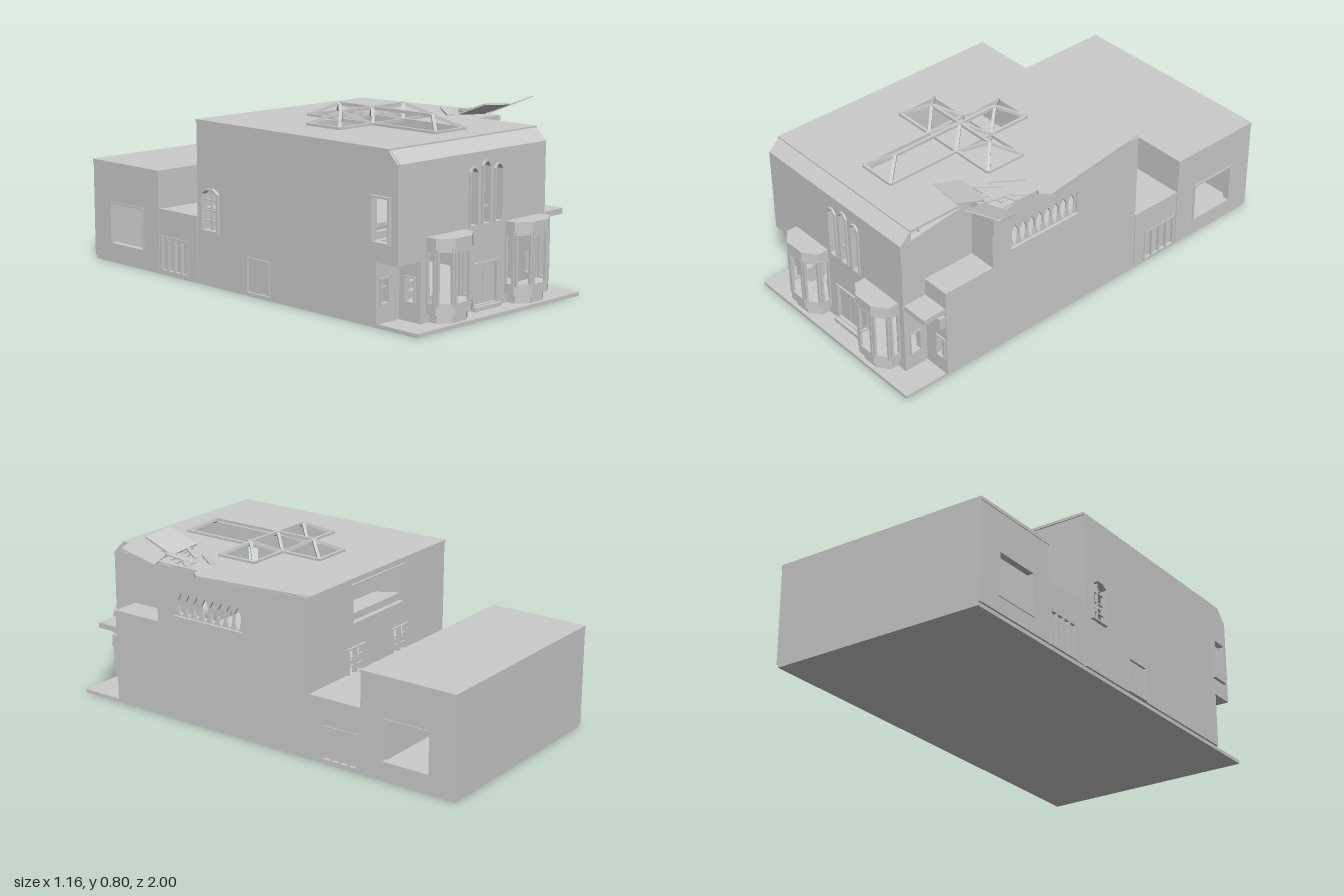
import * as THREE from 'three';

const V = (x, y, z) => new THREE.Vector3(x, y, z);
const mat = new THREE.MeshStandardMaterial({ color: 0xcccccc, flatShading: true, side: THREE.DoubleSide });
const rect = (a, b, c, d) => [[a, c], [b, c], [b, d], [a, d]];
const peak = (a, b, c, d) => [[a, c], [b, c], [b, d - 0.02], [b * 0.7 + a * 0.3, d], [a * 0.7 + b * 0.3, d], [a, d - 0.02]];
const poly = pts => pts.map(p => new THREE.Vector2(p[0], p[1]));

export function createModel() {
  const root = new THREE.Group();
  const add = (name, geo, parent = root) => {
    const m = new THREE.Mesh(geo, mat);
    m.name = name;
    parent.add(m);
    return m;
  };
  const box = (name, x0, x1, y0, y1, z0, z1, parent) =>
    add(name, new THREE.BoxGeometry(x1 - x0, y1 - y0, z1 - z0)
      .translate((x0 + x1) / 2, (y0 + y1) / 2, (z0 + z1) / 2), parent);
  const extrude = (pts, holes, depth) => {
    const s = new THREE.Shape(poly(pts));
    for (const h of holes) s.holes.push(new THREE.Path(poly(h)));
    return new THREE.ExtrudeGeometry(s, { depth, bevelEnabled: false });
  };
  // upright wall in the x-y plane, from z to z + t
  const wallX = (name, pts, holes, z, t = 0.02) => add(name, extrude(pts, holes, t).translate(0, 0, z));
  // upright wall in the z-y plane, from x - t to x
  const wallZ = (name, pts, holes, x, t = 0.02) => add(name, extrude(pts, holes, t).rotateY(-Math.PI / 2).translate(x, 0, 0));
  // flat plate outlined in x-z, from y to y + t
  const plate = (name, pts, holes, y, t, parent) =>
    add(name, extrude(pts, holes, t).rotateX(Math.PI / 2).translate(0, y + t, 0), parent);
  const beam = (name, a, b, w = 0.012, h = w, parent = root) => {
    const m = add(name, new THREE.BoxGeometry(w, h, a.distanceTo(b)), parent);
    m.position.copy(a).lerp(b, 0.5);
    m.lookAt(b);
    return m;
  };
  // window surround: outline reduced towards its middle gives the hole
  const ring = (pts, f) => {
    const us = pts.map(p => p[0]), ys = pts.map(p => p[1]);
    const cu = (Math.min(...us) + Math.max(...us)) / 2, cy = (Math.min(...ys) + Math.max(...ys)) / 2;
    const hu = Math.max(...us) - cu, hy = Math.max(...ys) - cy;
    return pts.map(p => [cu + (p[0] - cu) * (1 - f / hu), cy + (p[1] - cy) * (1 - f / hy)]);
  };

  // ground slab
  box('groundSlab', -0.56, 0.43, 0, 0.016, -1, 1);

  // front wall with bay openings, door and three tall windows
  const tall = [peak(-0.166, -0.114, 0.36, 0.605), peak(-0.091, -0.039, 0.36, 0.623), peak(-0.016, 0.036, 0.36, 0.605)];
  const door = rect(-0.14, 0.01, 0.03, 0.21);
  wallX('frontWall', [[-0.44, 0.016], [0.31, 0.016], [0.31, 0.66], [-0.57, 0.66], [-0.57, 0.265], [-0.44, 0.265]],
    [...tall, door, rect(-0.39, -0.21, 0.06, 0.32), rect(0.08, 0.26, 0.06, 0.32)], 0.885);
  for (const t of tall) wallX('tallWindowFrame', t, [ring(t, 0.007)], 0.88, 0.035);
  box('windowTransom', -0.09, -0.04, 0.43, 0.44, 0.89, 0.9);
  wallX('doorFrame', door, [ring(door, 0.007)], 0.885, 0.028);
  for (const x of [-0.133, -0.063]) box('doorLeaf', x, x + 0.066, 0.035, 0.203, 0.89, 0.898);
  box('doorStep', -0.145, 0.015, 0.016, 0.033, 0.89, 0.93);

  // sloped parapet along the front edge of the roof
  add('slopedParapet', extrude([[0.905, 0.66], [0.85, 0.715], [0.85, 0.66]], [], 0.87)
    .rotateY(-Math.PI / 2).translate(0.31, 0, 0));

  // bay windows
  const bay = (cx, s = 1) => [[-0.11, 0.9], [-0.11, 0.955], [-0.048, 1], [0.048, 1], [0.11, 0.955], [0.11, 0.9]]
    .map(([x, z]) => [cx + x * s, 0.9 + (z - 0.9) * s]);
  for (const cx of [-0.3, 0.17]) {
    const g = new THREE.Group();
    g.name = 'bayWindow';
    root.add(g);
    plate('bayFoot', bay(cx, 0.82), [], 0.016, 0.04, g);
    plate('bayBase', bay(cx), [], 0.055, 0.035, g);
    plate('bayHeader', bay(cx), [], 0.312, 0.046, g);
    const p = bay(cx, 0.96);
    for (let i = 0; i < 5; i++) {
      const [a, b] = [p[i], p[i + 1]];
      const d = V(b[0] - a[0], 0, b[1] - a[1]).normalize().multiplyScalar(0.007);
      for (const q of [[a[0] + d.x, a[1] + d.z], [b[0] - d.x, b[1] - d.z]])
        box('bayPost', q[0] - 0.006, q[0] + 0.006, 0.085, 0.315, q[1] - 0.006, q[1] + 0.006, g);
      for (const y of [0.094, 0.307]) beam('bayRail', V(a[0], y, a[1]), V(b[0], y, b[1]), 0.01, 0.01, g);
    }
  }

  // recessed ground-floor corners beside the front
  const cornerR = rect(0.375, 0.43, 0.09, 0.2), cornerL = rect(-0.555, -0.5, 0.09, 0.2), ret = rect(0.82, 0.88, 0.09, 0.2);
  wallX('cornerWallRight', rect(0.31, 0.44, 0.016, 0.44), [cornerR], 0.77);
  wallX('cornerWallLeft', rect(-0.57, -0.44, 0.016, 0.265), [cornerL], 0.77);
  for (const [w, c] of [[cornerR, 0.4025], [cornerL, -0.5275]]) {
    wallX('cornerWindowFrame', w, [ring(w, 0.007)], 0.77, 0.028);
    box('cornerWindowBar', c - 0.003, c + 0.003, 0.09, 0.2, 0.778, 0.785);
    box('cornerWindowBar', c - 0.026, c + 0.026, 0.157, 0.163, 0.778, 0.785);
  }
  wallZ('returnWallRight', rect(0.77, 0.9, 0.016, 0.44), [ret], 0.31);
  wallZ('returnWallLeft', rect(0.77, 0.9, 0.016, 0.265), [ret], -0.42);
  for (const x of [0.314, -0.42]) wallZ('returnWindowFrame', ret, [ring(ret, 0.007)], x, 0.028);
  box('overhangFloor', -0.57, -0.42, 0.265, 0.28, 0.77, 0.9);
  // canopy and terrace on the right
  box('canopyTop', 0.31, 0.435, 0.335, 0.36, 0.785, 0.9);
  box('canopyUnderside', 0.31, 0.435, 0.265, 0.32, 0.785, 0.82);
  box('terrace', 0.3, 0.44, 0.425, 0.442, 0.53, 0.79);
  wallZ('blockSideWall', rect(0.53, 0.885, 0.44, 0.71).map(([z, y]) => [z, z > 0.8 ? Math.min(y, 0.66) : y]), [], 0.31);
  wallX('terraceBackWall', rect(0.29, 0.44, 0.44, 0.712), [], 0.52);

  // right side wall with arcade
  wallZ('rightWall', [[-0.275, 0.016], [0.79, 0.016], [0.79, 0.44], [0.54, 0.44], [0.54, 0.712], [-0.275, 0.712]],
    [rect(0.075, 0.44, 0.49, 0.6)], 0.44);
  const arches = [];
  for (let i = 0; i < 8; i++) {
    const a = 0.082 + i * 0.0445, b = a + 0.036;
    arches.push([[a + 0.01, 0.495], [b - 0.01, 0.495], [b, 0.53], [b, 0.56], [(a + b) / 2, 0.592], [a, 0.56], [a, 0.53]]);
  }
  wallZ('arcade', rect(0.075, 0.44, 0.49, 0.6), arches, 0.432, 0.01);
  box('arcadeSill', 0.42, 0.446, 0.482, 0.49, 0.07, 0.445);
  box('arcadeLintel', 0.43, 0.447, 0.6, 0.71, 0.44, 0.54);
  box('arcadeLedge', 0.3, 0.42, 0.44, 0.45, 0.07, 0.53);

  // left side wall
  const archWin = peak(-0.24, -0.13, 0.24, 0.43), sideDoor = rect(0.04, 0.18, 0.016, 0.17), upWin = rect(0.77, 0.87, 0.34, 0.53);
  wallZ('leftWall', [[-0.275, 0.016], [0.78, 0.016], [0.78, 0.265], [0.9, 0.265], [0.9, 0.66], [0.85, 0.712], [-0.275, 0.712]],
    [archWin, sideDoor, upWin], -0.55);
  for (const w of [archWin, upWin]) wallZ('leftWindowFrame', w, [ring(w, 0.009)], -0.555, 0.03);
  for (let i = 1; i < 4; i++) box('archWindowBar', -0.57, -0.56, 0.24 + i * 0.045, 0.246 + i * 0.045, -0.24, -0.13);
  box('archWindowBar', -0.57, -0.56, 0.24, 0.42, -0.188, -0.182);
  wallZ('sideDoorFrame', sideDoor, [ring(sideDoor, 0.006)], -0.555, 0.022);
  box('sideDoor', -0.566, -0.558, 0.016, 0.165, 0.045, 0.175);

  // rear wall with wide opening and two small windows
  const wide = rect(-0.25, 0.14, 0.51, 0.69), smalls = [rect(-0.28, -0.16, 0.28, 0.41), rect(0.045, 0.165, 0.28, 0.41)];
  wallX('rearWall', rect(-0.57, 0.44, 0.016, 0.712), [wide, ...smalls], -0.275);
  wallX('wideOpeningFrame', wide, [ring(wide, 0.008)], -0.283, 0.03);
  for (const w of smalls) {
    wallX('rearWindowFrame', w, [ring(w, 0.008)], -0.285, 0.03);
    const c = (w[0][0] + w[1][0]) / 2;
    box('rearWindowBar', c - 0.005, c + 0.005, 0.28, 0.41, -0.282, -0.262);
    for (const y of [0.32, 0.36]) box('rearWindowBar', c - 0.055, c + 0.055, y, y + 0.006, -0.275, -0.268);
  }
  plate('rearAlcoveLedge', [[-0.25, -0.26], [0.14, -0.26], [0.08, -0.16], [-0.19, -0.16]], [], 0.5, 0.05);
  for (const x of [-0.19, 0.08]) box('alcovePost', x - 0.006, x + 0.006, 0.54, 0.71, -0.17, -0.158);

  // roof with a cross-shaped opening
  const cross = [[-0.16, -0.02], [0.02, -0.02], [0.02, 0.18], [0.22, 0.18], [0.22, 0.37], [0.02, 0.37],
    [0.02, 0.72], [-0.16, 0.72], [-0.16, 0.37], [-0.355, 0.37], [-0.355, 0.18], [-0.16, 0.18]];
  plate('roof', [[-0.57, -0.28], [0.43, -0.28], [0.498, 0.27], [0.46, 0.31], [0.44, 0.3], [0.44, 0.54], [0.31, 0.54], [0.31, 0.855], [-0.57, 0.855]],
    [cross], 0.704, 0.012);

  // skylight truss over the cross
  const truss = new THREE.Group();
  truss.name = 'skylightTruss';
  root.add(truss);
  const lo = 0.72, hi = 0.772, mid = V(-0.07, hi, 0.275);
  cross.forEach((p, i) => {
    const q = cross[(i + 1) % 12];
    beam('trussCurb', V(p[0], lo, p[1]), V(q[0], lo, q[1]), 0.014, 0.014, truss);
  });
  const tips = [[-0.07, 0.08], [0.12, 0.275], [-0.07, 0.62], [-0.255, 0.275]];
  tips.forEach(([x, z], i) => {
    const tip = V(x, hi, z);
    beam('trussRidge', mid, tip, 0.013, 0.013, truss);
    // hips to the outer corners of the arm, braces to its inner corners
    const k = i * 3;
    for (const c of [k, k + 1]) beam('trussHip', tip, V(cross[c][0], lo, cross[c][1]), 0.013, 0.013, truss);
    const inner = [cross[(k + 11) % 12], cross[k + 2]];
    for (const c of inner) {
      const end = V(c[0], lo, c[1]);
      if (i !== 2) beam('trussBrace', tip, end, 0.013, 0.013, truss);
    }
    const valley = V(inner[0][0], lo, inner[0][1]);
    beam('trussValley', mid, valley, 0.013, 0.013, truss);
    beam('trussTie', valley, V(inner[1][0], lo, inner[1][1]), 0.013, 0.013, truss);
  });

  // broken roof panels: tilted slabs given by corner, two edge vectors
  const slab = (name, o, u, v, t) => {
    const n = u.clone().cross(v).normalize();
    const m = add(name, new THREE.BoxGeometry(u.length(), t, v.length()));
    m.position.copy(o).addScaledVector(u, 0.5).addScaledVector(v, 0.5);
    const side = u.clone().normalize();
    m.quaternion.setFromRotationMatrix(new THREE.Matrix4().makeBasis(side, n.negate(), side.clone().cross(n)));
  };
  slab('loosePanel', V(0.215, 0.74, 0.505), V(0.155, -0.012, 0.005), V(0, 0.055, 0.15), 0.008);
  slab('loosePanel', V(0.375, 0.73, 0.535), V(0.143, 0, -0.058), V(0.058, 0.062, 0.135), 0.005);
  const shards = [[0.26, 0.42, 0.36, 0.29], [0.3, 0.47, 0.45, 0.42], [0.33, 0.5, 0.44, 0.36], [0.25, 0.5, 0.42, 0.47], [0.38, 0.53, 0.4, 0.36], [0.28, 0.5, 0.34, 0.4]];
  shards.forEach(([x0, z0, x1, z1], i) =>
    beam('roofShard', V(x0, 0.722 + 0.004 * i, z0), V(x1, 0.73, z1), i % 2 ? 0.014 : 0.03, 0.006));

  // interior floor, stairs and fallen planks
  box('upperFloor', -0.55, 0.42, 0.325, 0.34, -0.255, 0.52);
  for (let i = 0; i < 10; i++) box('stairStep', -0.36, -0.22, 0.016, 0.046 + i * 0.03, 0.78 - i * 0.028, 0.808 - i * 0.028);
  beam('fallenPlank', V(0.09, 0.08, 0.75), V(0.27, 0.27, 0.7), 0.02, 0.012);
  beam('fallenPlank', V(0.08, 0.2, 0.8), V(0.24, 0.23, 0.72), 0.03, 0.01);

  // low link and rear block, each with matching side walls
  const linkDoor = rect(-0.53, -0.345, 0.016, 0.175), rearWin = rect(-0.88, -0.65, 0.09, 0.275);
  for (const s of [-1, 1]) {
    const face = (out, t) => s > 0 ? 0.435 + out : -0.565 - out + t;
    wallZ('linkWall', rect(-0.545, -0.285, 0.016, 0.295), [linkDoor], face(0, 0.02));
    wallZ('linkDoorFrame', linkDoor, [rect(-0.522, -0.485, 0.025, 0.165), rect(-0.477, -0.441, 0.025, 0.165),
      rect(-0.433, -0.397, 0.025, 0.165), rect(-0.389, -0.353, 0.025, 0.165)], face(0.004, 0.02));
    wallZ('linkDoorPanel', linkDoor, [], face(-0.01, 0.005), 0.005);
    wallZ('rearBlockWall', rect(-1, -0.54, 0.016, 0.46), [rearWin], face(0.004, 0.02));
    wallZ('rearBlockWindowFrame', ring(rearWin, -0.006), [ring(rearWin, 0.003)], face(0.008, 0.03), 0.03);
  }
  box('linkRoof', -0.56, 0.43, 0.28, 0.292, -0.545, -0.27);
  wallX('rearBlockBack', rect(-0.56, 0.43, 0.016, 0.46), [], -1);
  wallX('rearBlockFront', rect(-0.56, 0.43, 0.016, 0.46), [], -0.56);
  box('rearBlockRoof', -0.572, 0.442, 0.448, 0.463, -1, -0.538);
  return root;
}
